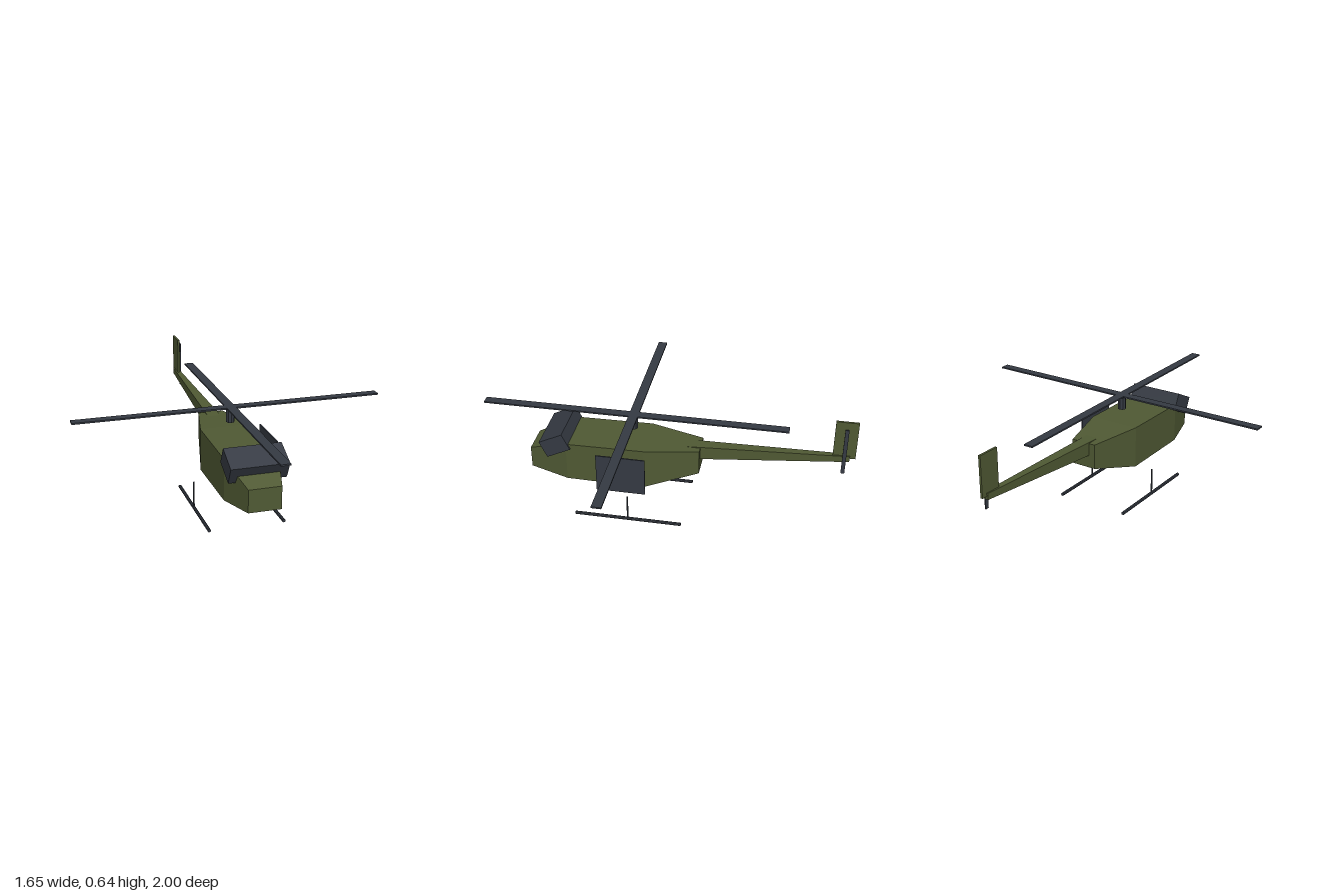
import * as THREE from 'three';

const olive = new THREE.MeshStandardMaterial({ name: 'olive green', color: 0x505a34, flatShading: true });
const dark = new THREE.MeshStandardMaterial({ name: 'dark slate', color: 0x353a43, flatShading: true });

// Rectangular loft along z; each section is [z, halfWidth, bottom, top], front to back.
function loft(sections) {
  const pos = [];
  const rings = sections.map(([z, w, y0, y1]) => [[-w, y0, z], [w, y0, z], [w, y1, z], [-w, y1, z]]);
  const quad = (a, b, c, d) => [a, b, c, a, c, d].forEach((p) => pos.push(...p));
  for (let i = 0; i < rings.length - 1; i++) {
    const f = rings[i], r = rings[i + 1];
    for (let k = 0; k < 4; k++) {
      const n = (k + 1) % 4;
      quad(f[k], r[k], r[n], f[n]);
    }
  }
  quad(...rings[0]);
  quad(...[...rings[rings.length - 1]].reverse());
  const geo = new THREE.BufferGeometry();
  geo.setAttribute('position', new THREE.Float32BufferAttribute(pos, 3));
  geo.computeVertexNormals();
  return geo;
}

export function createModel() {
  const model = new THREE.Group();
  model.name = 'helicopter';

  const add = (name, geo, mat, x = 0, y = 0, z = 0) => {
    const mesh = new THREE.Mesh(geo, mat);
    mesh.name = name;
    mesh.position.set(x, y, z);
    model.add(mesh);
    return mesh;
  };
  const box = (name, mat, size, at) => add(name, new THREE.BoxGeometry(...size), mat, ...at);

  // Fuselage and tail
  add('fuselage', loft([
    [0.735, 0.085, 0.21, 0.33],
    [0.52, 0.14, 0.192, 0.412],
    [0.1, 0.14, 0.187, 0.417],
    [-0.19, 0.07, 0.267, 0.404],
  ]), olive);
  add('tailBoom', loft([
    [-0.1, 0.036, 0.328, 0.407],
    [-0.97, 0.013, 0.402, 0.435],
  ]), olive);
  box('tailFin', olive, [0.012, 0.217, 0.118], [0, 0.527, -0.941]);
  box('tailRotor', dark, [0.006, 0.266, 0.02], [0.023, 0.468, -0.942]);

  // Slanted windscreen block and the open side door
  box('windscreen', dark, [0.3, 0.098, 0.142], [0, 0.4, 0.58]).rotation.x = 0.45;
  box('sideDoor', dark, [0.007, 0.217, 0.264], [0.2, 0.294, 0.21]);

  // Main rotor
  add('rotorMast', new THREE.CylinderGeometry(0.022, 0.022, 0.08, 8), dark, 0, 0.512, 0.176);
  box('crossBlade', dark, [1.65, 0.008, 0.05], [0, 0.552, 0.175]);
  box('longBlade', dark, [0.05, 0.008, 1.65], [0, 0.552, 0.175]);

  // Landing gear, mirrored
  for (const [side, s] of [['left', 1], ['right', -1]]) {
    const skid = new THREE.CylinderGeometry(0.009, 0.009, 0.585, 8).rotateX(Math.PI / 2);
    add(side + 'Skid', skid, dark, 0.2 * s, 0.009, 0.176);
    add(side + 'SkidStrut', new THREE.CylinderGeometry(0.0045, 0.0045, 0.145, 6), dark, 0.2 * s, 0.083, 0.176);
  }
  return model;
}
